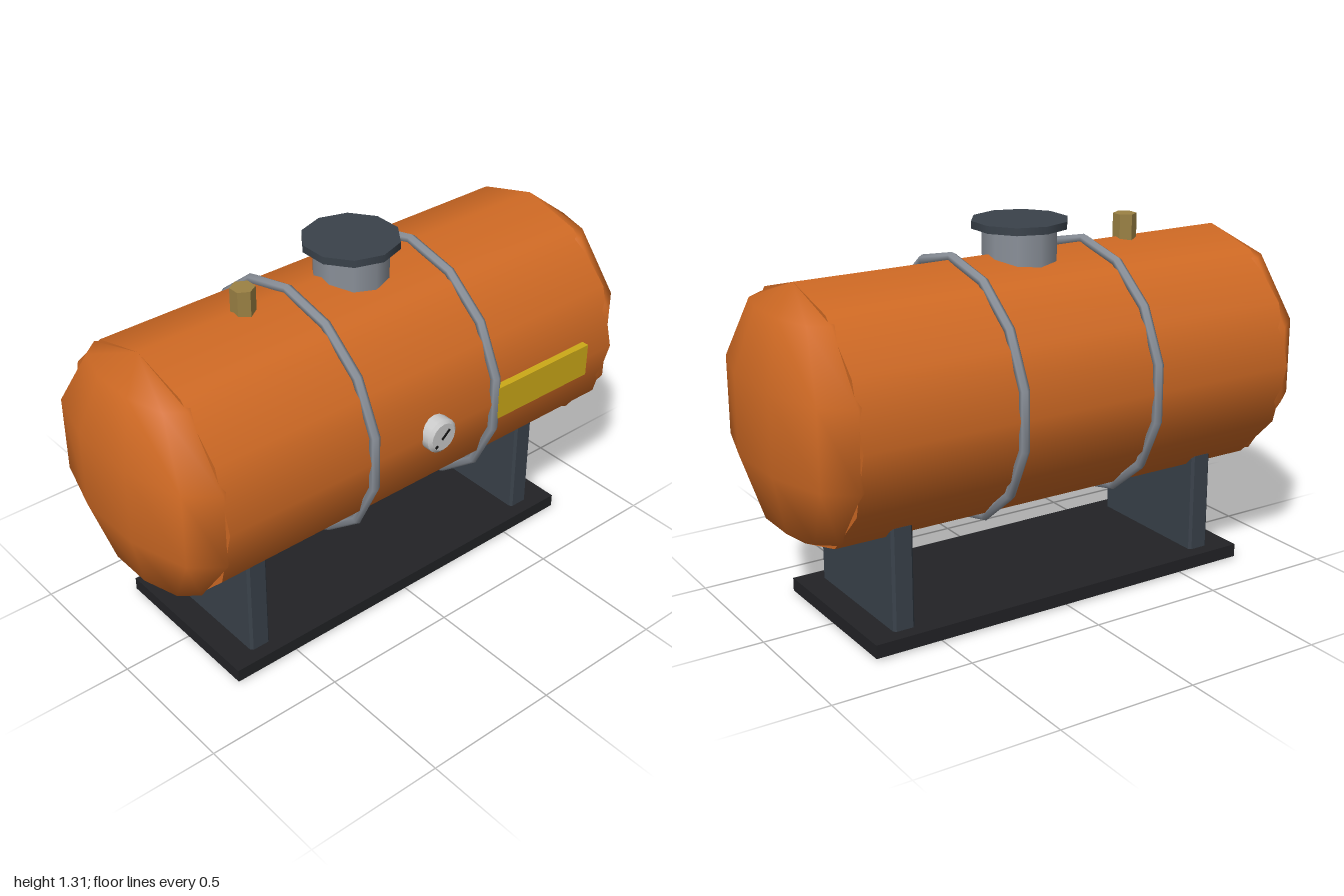
import * as THREE from 'three';

const mat = (color, extra = {}) => {
  const m = new THREE.MeshStandardMaterial({ color, ...extra });
  return m;
};

export function createModel() {
  const root = new THREE.Group();
  root.name = 'storageTank';
  const orange = mat(0xd06a24), steel = mat(0x8a9099), slate = mat(0x3a424b);
  const black = mat(0x222326), brass = mat(0x9c8244, { flatShading: true });
  const yellow = mat(0xccaa18), white = mat(0xdcdcdc), ink = mat(0x111111);

  const add = (name, geometry, material, x, y, z) => {
    const mesh = new THREE.Mesh(geometry, material);
    mesh.name = name;
    mesh.position.set(x, y, z);
    root.add(mesh);
    return mesh;
  };

  const R = 0.44, CY = 0.76, CZ = -0.012;

  // Tank shell along x
  add('tankBody', new THREE.CylinderGeometry(R, R, 1.68, 12).rotateZ(Math.PI / 2), orange, 0, CY, CZ);

  // Saddle profile, extruded along x with a small bevel
  const b = 0.009, hz = 0.26 - b;
  const saddle = new THREE.Shape([
    new THREE.Vector2(-hz, b), new THREE.Vector2(hz, b),
    new THREE.Vector2(hz, 0.418 - b), new THREE.Vector2(-hz, 0.418 - b),
  ]);
  const saddleGeo = new THREE.ExtrudeGeometry(saddle, {
    depth: 0.08 - 2 * b, bevelEnabled: true, bevelSize: b, bevelThickness: b, bevelSegments: 1,
  }).translate(0, 0, b - 0.04).rotateY(Math.PI / 2);

  // Mirrored parts: flattened end domes, straps and saddles
  for (const s of [-1, 1]) {
    const side = s > 0 ? 'left' : 'right';
    const dome = new THREE.SphereGeometry(R, 10, 5).rotateY(Math.PI / 2).scale(0.177 / R, 1, 1);
    add(side + 'EndDome', dome, orange, s * 0.84, CY, CZ);
    const strap = new THREE.TorusGeometry(0.447, 0.018, 6, 14).rotateZ(Math.PI / 2).rotateY(Math.PI / 2);
    add(side + 'Strap', strap, steel, s * 0.266, CY, CZ);
    add(side + 'Saddle', saddleGeo, slate, s * 0.617, 0, CZ);
  }

  // Base skid
  add('base', new THREE.BoxGeometry(1.5, 0.048, 0.62), black, 0, 0.031, CZ);

  // Manway on top
  add('manwayNeck', new THREE.CylinderGeometry(0.132, 0.132, 0.16, 10), steel, 0, 1.205, CZ);
  add('manwayLid', new THREE.CylinderGeometry(0.168, 0.168, 0.026, 10), slate, 0, 1.295, CZ);

  // Vent cap
  add('ventCap', new THREE.CylinderGeometry(0.042, 0.042, 0.1, 6), brass, -0.442, 1.23, CZ);

  // Label plate
  add('labelPlate', new THREE.BoxGeometry(0.435, 0.122, 0.036), yellow, 0.49, CY, 0.42);

  // Pressure gauge: bevelled body, needle and stop pin
  add('gaugeBody', new THREE.CylinderGeometry(0.062, 0.062, 0.05, 16).rotateX(Math.PI / 2), white, 0, CY, 0.427);
  add('gaugeFace', new THREE.CylinderGeometry(0.05, 0.062, 0.01, 16).rotateX(Math.PI / 2), white, 0, CY, 0.457);
  const needle = add('gaugeNeedle', new THREE.BoxGeometry(0.044, 0.008, 0.006), ink, 0.008, CY + 0.008, 0.462);
  needle.rotation.z = 0.72;
  const pin = add('gaugePin', new THREE.BoxGeometry(0.012, 0.009, 0.006), ink, -0.031, CY - 0.027, 0.462);
  pin.rotation.z = 0.72;

  return root;
}
